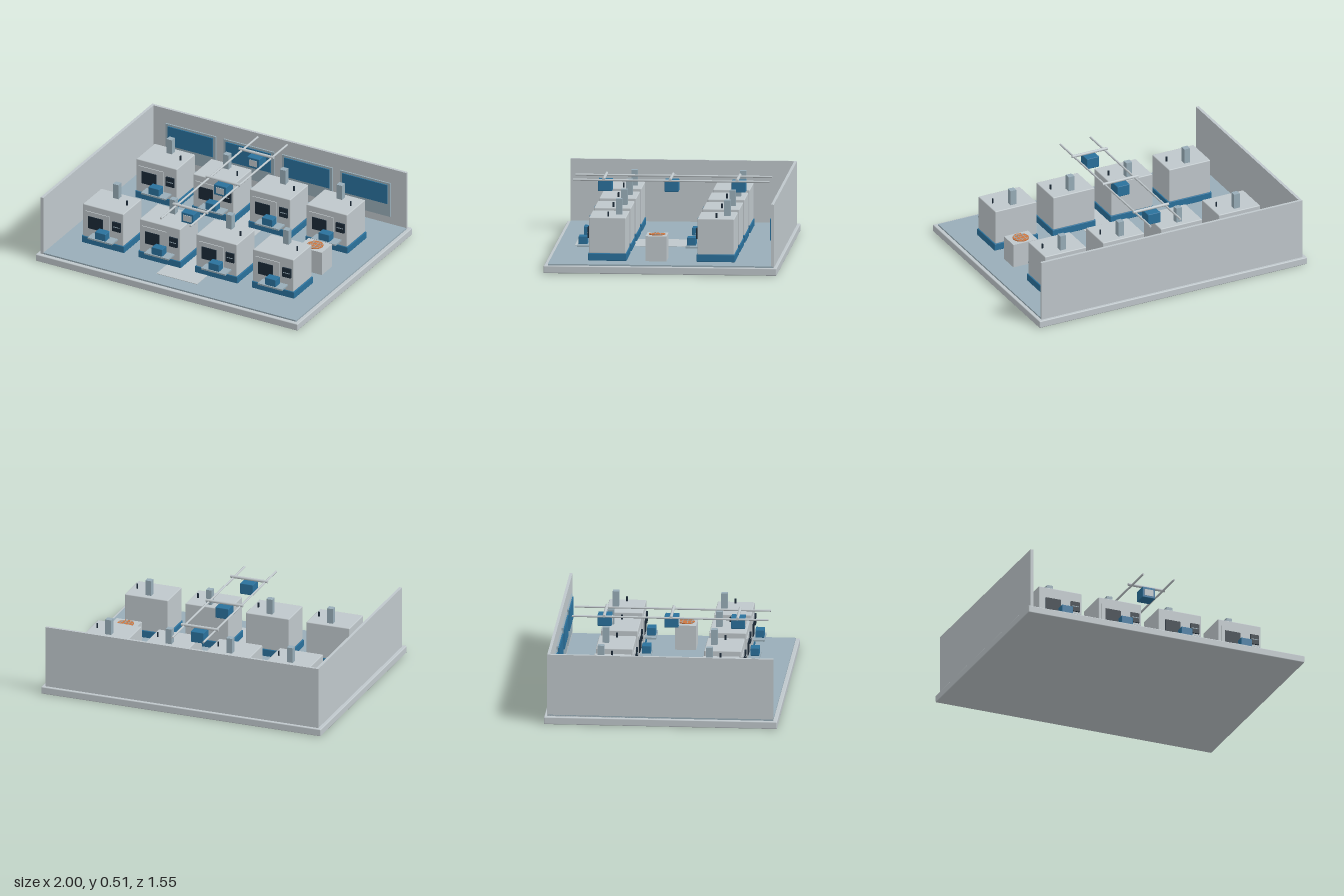
import * as THREE from 'three';
import { RoundedBoxGeometry } from 'three/addons/geometries/RoundedBoxGeometry.js';

const mat = (name, color) => {
  const m = new THREE.MeshStandardMaterial({ color });
  m.name = name;
  return m;
};

export function createModel() {
  const grey = mat('light grey', 0xbfc7cb);
  const slate = mat('blue grey', 0x98adb8);
  const blue = mat('blue', 0x2a719c);
  const dark = mat('dark navy', 0x1b2a38);
  const orange = mat('orange', 0xcc7640);

  const model = new THREE.Group();
  model.name = 'factoryFloor';

  // Box given by its extents on each axis; a radius rounds its edges
  const box = (parent, name, m, [x0, x1], [y0, y1], [z0, z1], r = 0) => {
    const size = [x1 - x0, y1 - y0, z1 - z0];
    const geo = r ? new RoundedBoxGeometry(...size, 2, r) : new THREE.BoxGeometry(...size);
    const mesh = new THREE.Mesh(geo, m);
    mesh.name = name;
    mesh.position.set((x0 + x1) / 2, (y0 + y1) / 2, (z0 + z1) / 2);
    parent.add(mesh);
    return mesh;
  };
  const rod = (parent, name, m, radius, length, axis, x, y, z) => {
    const mesh = new THREE.Mesh(new THREE.CylinderGeometry(radius, radius, length, 16), m);
    mesh.name = name;
    if (axis === 'x') mesh.rotation.z = Math.PI / 2;
    if (axis === 'z') mesh.rotation.x = Math.PI / 2;
    mesh.position.set(x, y, z);
    parent.add(mesh);
  };

  // Slab, floor, aisle and the two walls
  box(model, 'baseSlab', grey, [-1, 1], [0, 0.05], [-0.777, 0.777], 0.006);
  box(model, 'floor', slate, [-0.975, 0.975], [0.045, 0.06], [-0.75, 0.75]);
  box(model, 'aisle', grey, [-0.157, 0.153], [0.058, 0.063], [-0.48, 0.635]);
  box(model, 'backWall', grey, [-0.975, 0.975], [0.05, 0.475], [-0.757, -0.738]);
  box(model, 'sideWall', grey, [-0.975, -0.955], [0.05, 0.475], [-0.757, 0.752]);

  // Framed wall windows
  for (const x of [-0.667, -0.223, 0.223, 0.665]) {
    const win = new THREE.Group();
    win.name = 'wallWindow';
    win.position.x = x;
    box(win, 'windowFrame', slate, [-0.192, 0.192], [0.117, 0.368], [-0.738, -0.728]);
    box(win, 'windowPane', blue, [-0.172, 0.172], [0.213, 0.354], [-0.729, -0.72]);
    model.add(win);
  }

  // One machine, centred on its own x and z
  const machine = (x, z) => {
    const g = new THREE.Group();
    g.name = 'machine';
    g.position.set(x, 0, z);
    box(g, 'plinth', blue, [-0.162, 0.162], [0.06, 0.11], [-0.128, 0.128], 0.004);
    box(g, 'cabinet', grey, [-0.155, 0.155], [0.108, 0.35], [-0.123, 0.124], 0.006);
    // Door with viewing window
    box(g, 'door', grey, [-0.133, 0.053], [0.12, 0.305], [0.122, 0.13]);
    box(g, 'doorWindow', dark, [-0.108, 0.002], [0.183, 0.272], [0.129, 0.135]);
    // Control panel with a display line
    box(g, 'controlPanel', dark, [0.075, 0.138], [0.21, 0.278], [0.122, 0.135]);
    box(g, 'displayLine', slate, [0.082, 0.131], [0.241, 0.246], [0.134, 0.137]);
    // Loading tray and workpiece
    box(g, 'tray', slate, [-0.073, 0.113], [0.143, 0.154], [0.124, 0.206]);
    box(g, 'workpiece', blue, [-0.02, 0.061], [0.154, 0.208], [0.14, 0.2], 0.004);
    // Roof fittings
    box(g, 'exhaustStack', slate, [-0.021, 0.021], [0.345, 0.455], [-0.087, -0.045]);
    rod(g, 'signalPost', dark, 0.006, 0.04, 'y', 0.112, 0.362, -0.002);
    model.add(g);
  };
  for (const z of [-0.357, 0.366])
    for (let i = 0; i < 4; i++) machine(0.003 + (i - 1.5) * 0.433, z);

  // Overhead gantry with hanging carriers
  const gantry = new THREE.Group();
  gantry.name = 'gantry';
  model.add(gantry);
  for (const x of [-0.114, 0.11]) rod(gantry, 'rail', grey, 0.007, 1.31, 'z', x, 0.496, -0.004);
  for (const z of [-0.446, 0, 0.443]) {
    rod(gantry, 'crossBar', grey, 0.01, 0.265, 'x', -0.003, 0.505, z + 0.003);
    box(gantry, 'carrier', blue, [-0.05, 0.043], [0.411, 0.487], [z - 0.047, z + 0.047], 0.004);
    box(gantry, 'carrierPlate', grey, [-0.034, 0.027], [0.426, 0.471], [z + 0.045, z + 0.05]);
  }

  // Inspection pedestal with a gridded round pad
  const pedestal = new THREE.Group();
  pedestal.name = 'pedestal';
  pedestal.position.set(0.72, 0, 0.042);
  model.add(pedestal);
  box(pedestal, 'pedestalBlock', grey, [-0.09, 0.09], [0.06, 0.228], [-0.07, 0.07]);
  rod(pedestal, 'roundPad', orange, 0.055, 0.008, 'y', 0, 0.23, 0);
  for (const d of [-0.025, 0.008, 0.036]) {
    const h = Math.sqrt(0.055 ** 2 - d * d) - 0.003;
    box(pedestal, 'padGridLine', slate, [d - 0.002, d + 0.002], [0.233, 0.235], [-h, h]);
    box(pedestal, 'padGridLine', slate, [-h, h], [0.233, 0.2352], [d - 0.002, d + 0.002]);
  }
  return model;
}
